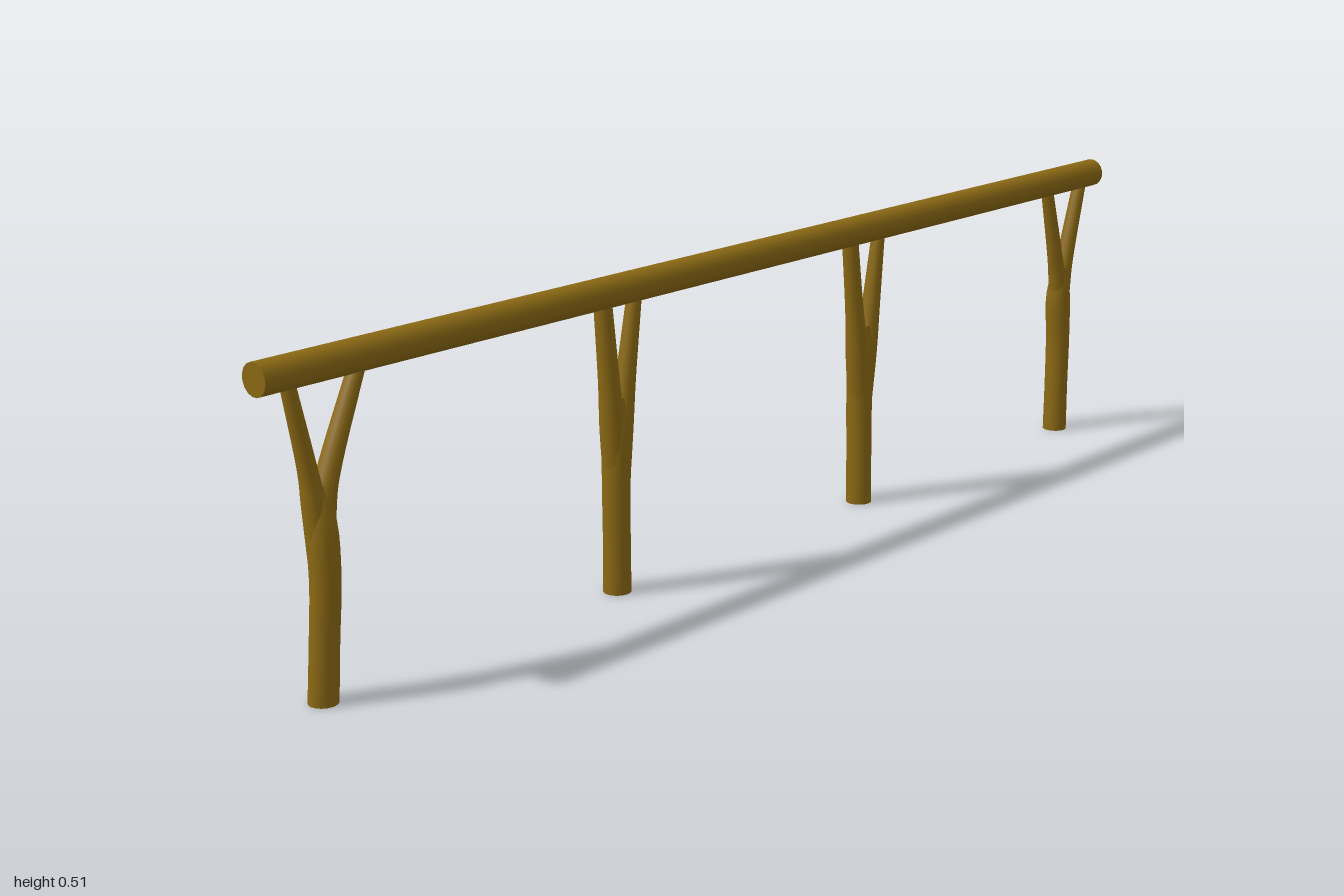
import * as THREE from 'three';

const wood = new THREE.MeshStandardMaterial({ color: 0x8b6914 });

// A tapering branch through stations [x, y, z, radius], with closed ends.
function limb(name, stations) {
  const path = new THREE.CatmullRomCurve3(
    stations.map(([x, y, z]) => new THREE.Vector3(x, y, z)), false, 'catmullrom');
  const girth = new THREE.CatmullRomCurve3(
    stations.map(([, , , r], i) => new THREE.Vector3(r, i, 0)), false, 'catmullrom');
  const geo = new THREE.CylinderGeometry(1, 1, 1, 16, 14);
  const pos = geo.attributes.position;
  for (let i = 0; i < pos.count; i++) {
    const t = THREE.MathUtils.clamp(pos.getY(i) + 0.5, 0, 1);
    const c = path.getPoint(t);
    const r = girth.getPoint(t).x;
    pos.setXYZ(i, c.x + pos.getX(i) * r, c.y, c.z + pos.getZ(i) * r);
  }
  geo.computeVertexNormals();
  const mesh = new THREE.Mesh(geo, wood);
  mesh.name = name;
  return mesh;
}

// Forked posts: x and z of foot, z of the bulge, then the two arms.
const posts = [
  {
    x: -0.914, mid: -0.907, z: 0.003, bulge: 0.011,
    right: [[-0.909, 0.2, 0.008, 0.019], [-0.914, 0.29, 0.003, 0.018], [-0.921, 0.35, 0, 0.0145], [-0.945, 0.475, -0.004, 0.0115]],
    left: [[-0.906, 0.2, 0.008, 0.019], [-0.898, 0.29, 0.003, 0.019], [-0.878, 0.35, 0, 0.017], [-0.821, 0.475, -0.004, 0.013]],
  },
  {
    x: -0.31, mid: -0.311, z: -0.004, bulge: -0.002,
    right: [[-0.311, 0.18, -0.002, 0.02], [-0.318, 0.27, -0.002, 0.02], [-0.324, 0.35, -0.002, 0.017], [-0.333, 0.475, -0.004, 0.0145]],
    left: [[-0.308, 0.18, -0.002, 0.02], [-0.299, 0.27, -0.002, 0.02], [-0.285, 0.35, -0.003, 0.016], [-0.263, 0.475, -0.004, 0.012]],
  },
  {
    x: 0.303, mid: 0.305, z: -0.006, bulge: -0.009,
    right: [[0.304, 0.18, -0.008, 0.02], [0.294, 0.27, -0.006, 0.02], [0.284, 0.35, -0.005, 0.016], [0.269, 0.475, -0.004, 0.014]],
    left: [[0.307, 0.18, -0.008, 0.02], [0.317, 0.27, -0.006, 0.02], [0.329, 0.35, -0.005, 0.016], [0.346, 0.475, -0.004, 0.0115]],
  },
  {
    x: 0.91, mid: 0.914, z: -0.008, bulge: -0.01,
    right: [[0.911, 0.2, -0.01, 0.018], [0.902, 0.29, -0.007, 0.017], [0.887, 0.35, -0.005, 0.0145], [0.854, 0.475, -0.004, 0.0115]],
    left: [[0.914, 0.2, -0.01, 0.018], [0.915, 0.29, -0.007, 0.018], [0.926, 0.35, -0.005, 0.0155], [0.961, 0.475, -0.004, 0.0125]],
  },
];

export function createModel() {
  const group = new THREE.Group();
  group.name = 'hitchingRail';

  // Round horizontal pole
  const railGeo = new THREE.CylinderGeometry(0.025, 0.025, 2, 16);
  railGeo.rotateY(Math.PI / 16).rotateZ(Math.PI / 2);
  const rail = new THREE.Mesh(railGeo, wood);
  rail.position.set(0, 0.489, -0.004);
  rail.name = 'topRail';
  group.add(rail);

  // Trunks that split into two arms under the pole
  for (const { x, mid, z, bulge, left, right } of posts) {
    const post = new THREE.Group();
    post.name = 'forkedPost';
    post.add(
      limb('trunk', [
        [x, 0, z, 0.0225],
        [(x + mid) / 2, 0.09, (z + bulge) / 2, 0.022],
        [mid, 0.18, bulge, 0.0225],
        [(left[1][0] + right[1][0]) / 2, 0.26, (bulge + left[1][2]) / 2, 0.023],
        [(left[1][0] + right[1][0]) / 2, 0.32, left[2][2], 0.014],
      ]),
      limb('leftArm', left),
      limb('rightArm', right),
    );
    group.add(post);
  }
  return group;
}
